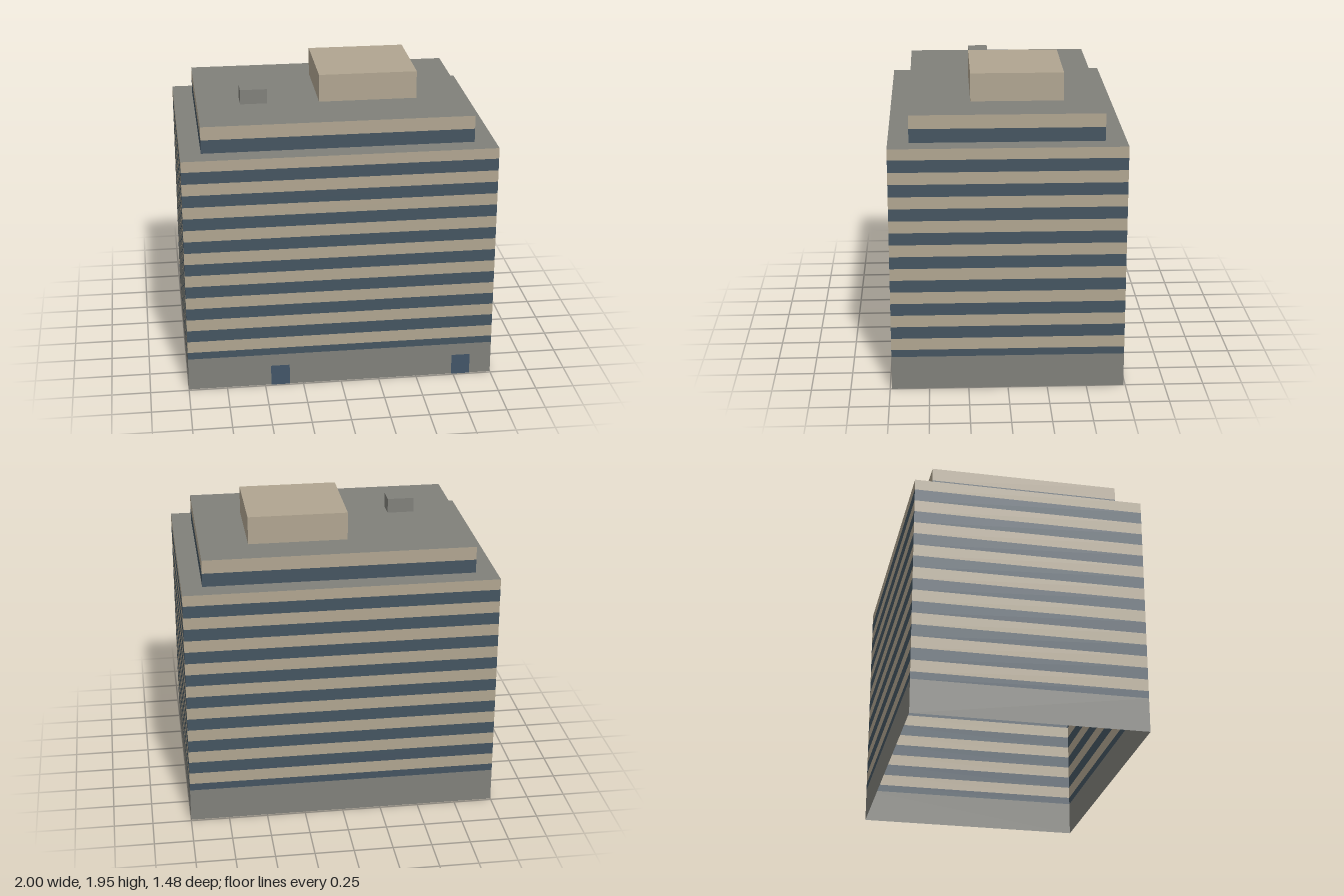
import * as THREE from 'three';
import { mergeGeometries } from 'three/addons/utils/BufferGeometryUtils.js';

const paint = (name, color, side = THREE.DoubleSide) => {
  const m = new THREE.MeshStandardMaterial({ color, side });
  m.name = name;
  return m;
};

export function createModel() {
  const stone = paint('beige stone', 0xb0a590);
  const concrete = paint('grey concrete', 0x80807a);
  const glass = paint('dark glass', 0x445460);
  const doorBlue = paint('door blue', 0x425567, THREE.FrontSide);

  const model = new THREE.Group();
  model.name = 'officeBuilding';

  const add = (name, geometry, material, parent = model) => {
    const mesh = new THREE.Mesh(geometry, material);
    mesh.name = name;
    parent.add(mesh);
    return mesh;
  };

  // Open ring of four thin walls between heights y0 and y1
  const wallRing = (name, w, d, y0, y1, material, parent) => {
    const sides = [0, 1, 2, 3].map((i) => {
      const [len, out] = i % 2 ? [d, w / 2] : [w, d / 2];
      return new THREE.PlaneGeometry(len, y1 - y0)
        .translate(0, (y0 + y1) / 2, out)
        .rotateY((i * Math.PI) / 2);
    });
    add(name, mergeGeometries(sides), material, parent);
  };

  const roof = (name, w, d, y) =>
    add(name, new THREE.PlaneGeometry(w, d).rotateX(-Math.PI / 2).translate(0, y, 0), concrete);

  // Main block: plain ground floor, then alternating glass and stone bands
  const W = 2, D = 1.476, floors = 9, pitch = 0.1564, bandHeight = 0.079;
  wallRing('groundFloorWalls', W, D, 0, 0.22, concrete);
  const facade = new THREE.Group();
  facade.name = 'mainFacade';
  model.add(facade);
  for (let i = 0; i < floors; i++) {
    const top = 0.268 + i * pitch;
    const bottom = i === 0 ? 0.22 : top - bandHeight;
    const next = i === floors - 1 ? 1.59 : top + pitch - bandHeight;
    wallRing('windowBand', W, D, bottom, top, glass, facade);
    wallRing('stoneBand', W, D, top, next, stone, facade);
  }
  roof('mainRoof', W, D, 1.59);

  // Set-back top floor
  wallRing('topFloorWindows', 1.736, 1.214, 1.59, 1.678, glass);
  wallRing('topFloorWall', 1.736, 1.214, 1.678, 1.765, stone);
  roof('topRoof', 1.736, 1.214, 1.765);

  // Rooftop structures
  const box = (name, x0, x1, y0, y1, z0, z1, material) =>
    add(name, new THREE.BoxGeometry(x1 - x0, y1 - y0, z1 - z0), material)
      .position.set((x0 + x1) / 2, (y0 + y1) / 2, (z0 + z1) / 2);
  box('penthouse', -0.08, 0.557, 1.766, 1.947, -0.37, 0.22, stone);
  box('roofVent', -0.59, -0.416, 1.766, 1.862, 0.08, 0.21, concrete);

  // Doors on the front
  for (const x of [-0.4, 0.798]) {
    add('door', new THREE.PlaneGeometry(0.122, 0.14), doorBlue).position.set(x, 0.07, D / 2 + 0.003);
  }

  return model;
}
